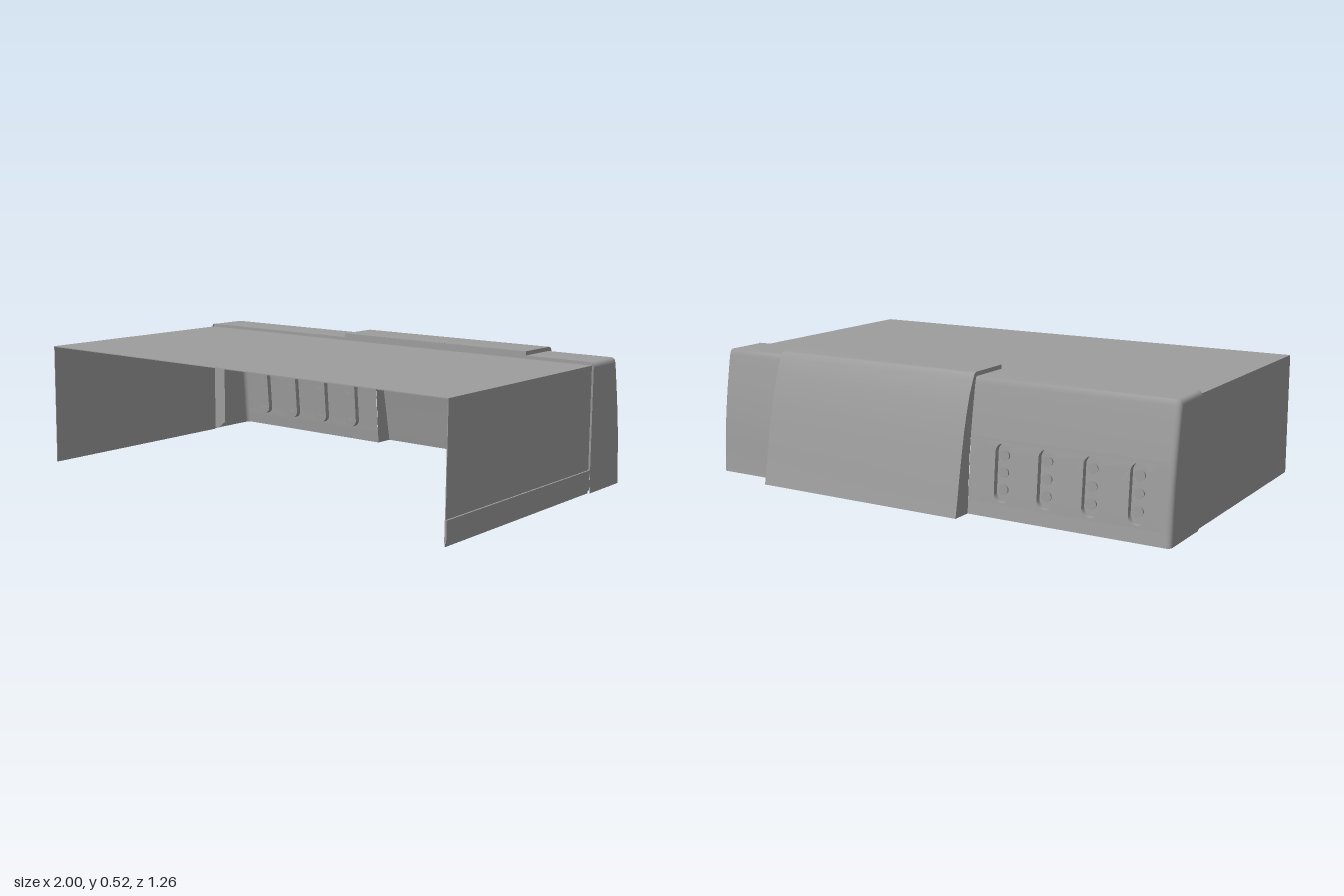
import * as THREE from 'three';

// Profiles as [z, y], running from the front lip over the top and down the rear
const CAP = [[-.31, .5], [-.478, .5], [-.487, .496], [-.493, .475], [-.503, .42], [-.515, .35],
  [-.524, .29], [-.534, .21], [-.54, .13], [-.545, .05], [-.55, 0]];
const PANEL = [[-.31, .516], [-.484, .516], [-.497, .511], [-.508, .49], [-.529, .445], [-.55, .38],
  [-.569, .31], [-.586, .23], [-.602, .15], [-.618, .06], [-.63, 0]];
const FRONT = -.31, X0 = -.195, X1 = .705, XF = .98, R = .018;

const mat = new THREE.MeshStandardMaterial({ color: 0x9d9d9d, side: THREE.DoubleSide });

function add(group, name, geo, x = 0, y = 0, z = 0) {
  const m = new THREE.Mesh(geo, mat);
  m.name = name;
  m.position.set(x, y, z);
  group.add(m);
}

// Surface through equal-length rows of [x, y, z] points
function grid(rows) {
  const n = rows[0].length, index = [];
  for (let i = 0; i < rows.length - 1; i++) {
    for (let j = 0; j < n - 1; j++) {
      const a = i * n + j, b = a + n;
      index.push(a, b, a + 1, b, b + 1, a + 1);
    }
  }
  const g = new THREE.BufferGeometry();
  g.setAttribute('position', new THREE.Float32BufferAttribute(rows.flat(2), 3));
  g.setIndex(index);
  g.computeVertexNormals();
  return g;
}

// Profile placed at x, shrunk towards the front lip by an inset
const section = (profile, x, inset = 0) => profile.map(([z, y]) =>
  [x, y * (1 - inset / .5), z + inset * (FRONT - z) / .24]);

// Depth of the cap's rear wall at height y
function capZ(y) {
  for (let i = 3; i < CAP.length - 1; i++) {
    const [za, ya] = CAP[i], [zb, yb] = CAP[i + 1];
    if (y >= yb) return za + (zb - za) * (ya - y) / (ya - yb);
  }
  return CAP[CAP.length - 1][0];
}

// Upright rounded slot outline
function slotPath(cx, Type) {
  const p = new Type(), r = .032;
  p.absarc(cx, .275 - r, r, 0, Math.PI, false);
  p.absarc(cx, .06 + r, r, Math.PI, Math.PI * 2, false);
  p.closePath();
  return p;
}

function mainCover(root) {
  const g = new THREE.Group();
  g.name = 'mainCover';
  const t = .003, z1 = .617, len = z1 - FRONT, mid = (z1 + FRONT) / 2;
  add(g, 'topSheet', new THREE.BoxGeometry(1.98, t, len), 0, .487 - t / 2, mid);
  for (const s of [-1, 1]) {
    const side = new THREE.BoxGeometry(t, .484, len), p = side.attributes.position;
    // front edge leans slightly forward towards the base
    for (let i = 0; i < p.count; i++) {
      if (p.getZ(i) > 0 && p.getY(i) < 0) p.setZ(i, p.getZ(i) + .007);
    }
    add(g, s < 0 ? 'rightSide' : 'leftSide', side, s * (.99 - t / 2), .242, mid);
  }
  add(g, 'leftBottomStrip', new THREE.BoxGeometry(.008, .077, .938), .993, .0515, .159);
  root.add(g);
}

// Thin U-shaped frame inside the cap's front opening
function capFlange() {
  const half = [[.99, .5], [.925, .475], [.925, .04], [.965, .01], [.99, .005]];
  const [top, ...inner] = half;
  const outline = [[-top[0], top[1]], ...inner.slice().reverse().map(([x, y]) => [-x, y]),
    ...inner, top];
  return new THREE.ShapeGeometry(new THREE.Shape(outline.map(([x, y]) => new THREE.Vector2(x, y))));
}

function rearCap(root) {
  const g = new THREE.Group();
  g.name = 'rearCap';

  for (const s of [-1, 1]) {
    // rounded end, with its flat cheek
    const rows = [];
    for (let k = 0; k <= 5; k++) {
      const t = k / 5 * Math.PI / 2;
      rows.push(section(CAP, s * (XF + R * Math.sin(t)), R * (1 - Math.cos(t))));
    }
    const end = rows[5], front = end.map(([x, y]) => [x, y, FRONT]);
    add(g, 'roundedEnd', grid(s > 0 ? rows : rows.reverse()));
    add(g, 'endCheek', grid(s > 0 ? [end, front] : [front, end]));
  }
  add(g, 'frontFlange', capFlange(), 0, 0, FRONT - .002);

  // plain wall on the left of the panel, slotted wall on the right
  add(g, 'leftWall', grid([section(CAP, X1), section(CAP, XF)]));
  add(g, 'rightUpperWall', grid([section(CAP.slice(0, 7), -XF), section(CAP.slice(0, 7), X0)]));
  add(g, 'rightLowerWall', grid([section(CAP.slice(9), -XF), section(CAP.slice(9), X0)]));

  const centres = [-.868, -.69, -.512, -.335];
  const band = new THREE.Shape([[-XF, .05], [X0, .05], [X0, .29], [-XF, .29]]
    .map(([x, y]) => new THREE.Vector2(x, y)));
  centres.forEach(cx => band.holes.push(slotPath(cx, THREE.Path)));
  const wall = new THREE.ShapeGeometry(band, 10), p = wall.attributes.position;
  for (let i = 0; i < p.count; i++) p.setZ(i, capZ(p.getY(i)));
  wall.computeVertexNormals();
  add(g, 'slottedWall', wall);

  // recessed slots with small sockets
  for (const cx of centres) {
    const shape = slotPath(cx, THREE.Shape), pts = shape.getPoints(10), depth = .022;
    const floor = new THREE.ShapeGeometry(shape, 10), f = floor.attributes.position;
    for (let i = 0; i < f.count; i++) f.setZ(i, capZ(f.getY(i)) + depth);
    floor.computeVertexNormals();
    add(g, 'slotFloor', floor);
    add(g, 'slotWall', grid([
      pts.map(v => [v.x, v.y, capZ(v.y)]),
      pts.map(v => [v.x, v.y, capZ(v.y) + depth])]));
    for (const y of [.105, .1675, .23]) {
      const socket = new THREE.CylinderGeometry(.02, .017, .012, 14);
      socket.rotateX(-Math.PI / 2);
      add(g, 'socket', socket, cx, y, capZ(y) + depth - .006);
    }
  }
  root.add(g);
}

function raisedPanel(root) {
  const g = new THREE.Group();
  g.name = 'raisedPanel';
  add(g, 'panelSkin', grid([section(PANEL, X0), section(PANEL, X1)]));
  // cheeks closing the gap between panel and cap
  add(g, 'rightCheek', grid([section(CAP, X0), section(PANEL, X0)]));
  add(g, 'leftCheek', grid([section(PANEL, X1), section(CAP, X1)]));
  add(g, 'panelStep', new THREE.BoxGeometry(X1 - X0, .03, .004), (X0 + X1) / 2, .5, -.313);
  root.add(g);
}

export function createModel() {
  const root = new THREE.Group();
  root.name = 'rearCover';
  mainCover(root);
  rearCap(root);
  raisedPanel(root);
  return root;
}
